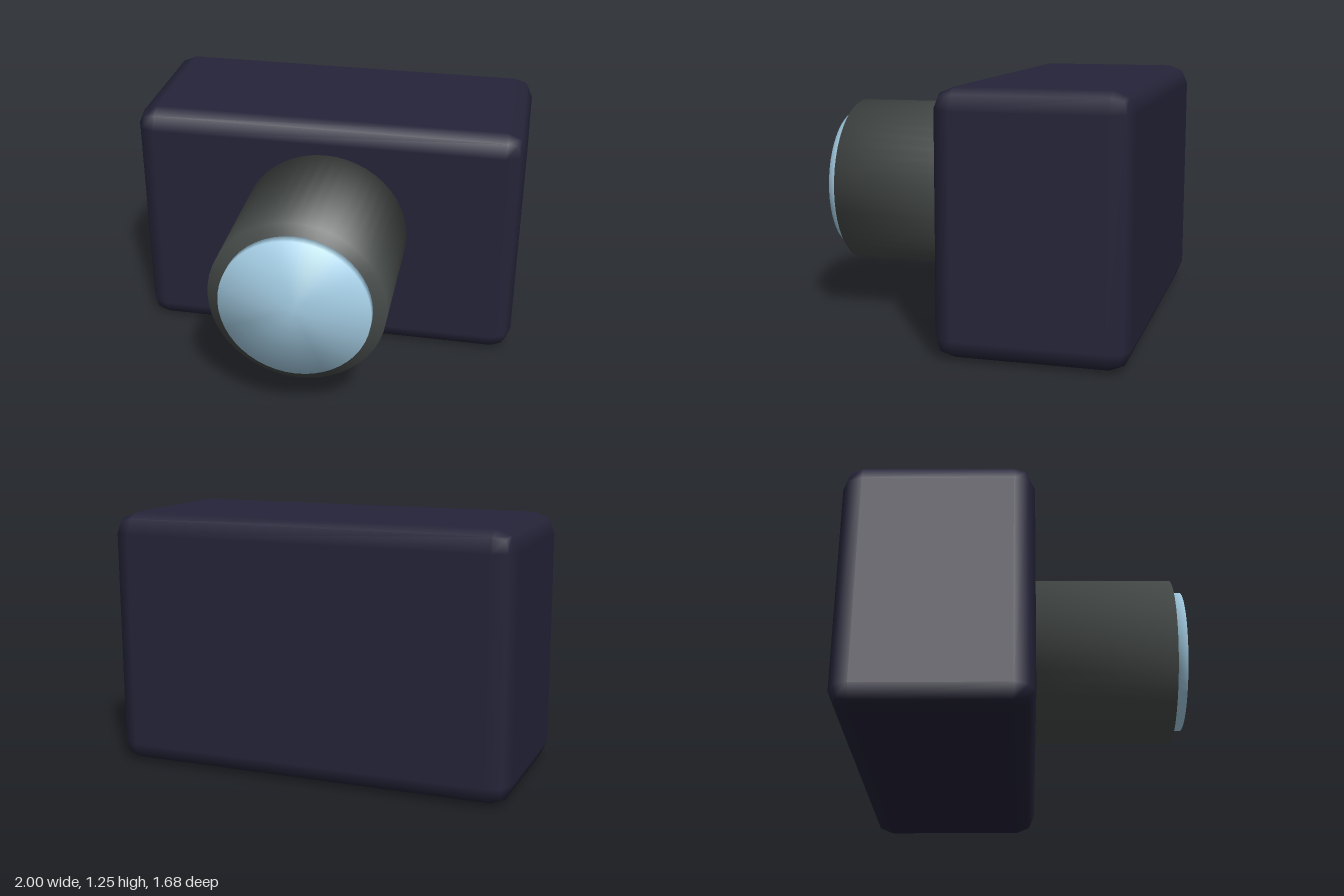
import * as THREE from 'three';
import { RoundedBoxGeometry } from 'three/addons/geometries/RoundedBoxGeometry.js';

const bodyMaterial = new THREE.MeshStandardMaterial({ color: 0x252439 });
bodyMaterial.name = 'dark navy';
const barrelMaterial = new THREE.MeshStandardMaterial({ color: 0x464b49 });
barrelMaterial.name = 'charcoal';
const glassMaterial = new THREE.MeshStandardMaterial({ color: 0xa6cfe6 });
glassMaterial.name = 'pale blue glass';

// Capped cylinder along z whose shading runs softly over the rims
function softCylinder(radius, zBack, zFront) {
  const geometry = new THREE.CylinderGeometry(radius, radius, zFront - zBack, 48);
  const { position, normal } = geometry.attributes;
  const n = new THREE.Vector3();
  for (let i = 0; i < position.count; i++) {
    n.set(position.getX(i) / radius, Math.sign(position.getY(i)), position.getZ(i) / radius).normalize();
    normal.setXYZ(i, n.x, n.y, n.z);
  }
  geometry.rotateX(Math.PI / 2);
  return geometry.translate(0, 0.665, (zBack + zFront) / 2);
}

export function createModel() {
  const group = new THREE.Group();
  group.name = 'camera';

  const add = (name, geometry, material) => {
    const mesh = new THREE.Mesh(geometry, material);
    mesh.name = name;
    group.add(mesh);
  };

  // Box body with a two-step rounded edge
  const body = new RoundedBoxGeometry(2, 1.25, 0.915, 1, 0.1);
  body.translate(0, 0.625, -0.3825);
  add('body', body, bodyMaterial);

  // Lens barrel, with the glass disc just in front of it
  add('lensBarrel', softCylinder(0.43, 0.06, 0.783), barrelMaterial);
  add('lensGlass', softCylinder(0.366, 0.793, 0.84), glassMaterial);

  return group;
}
